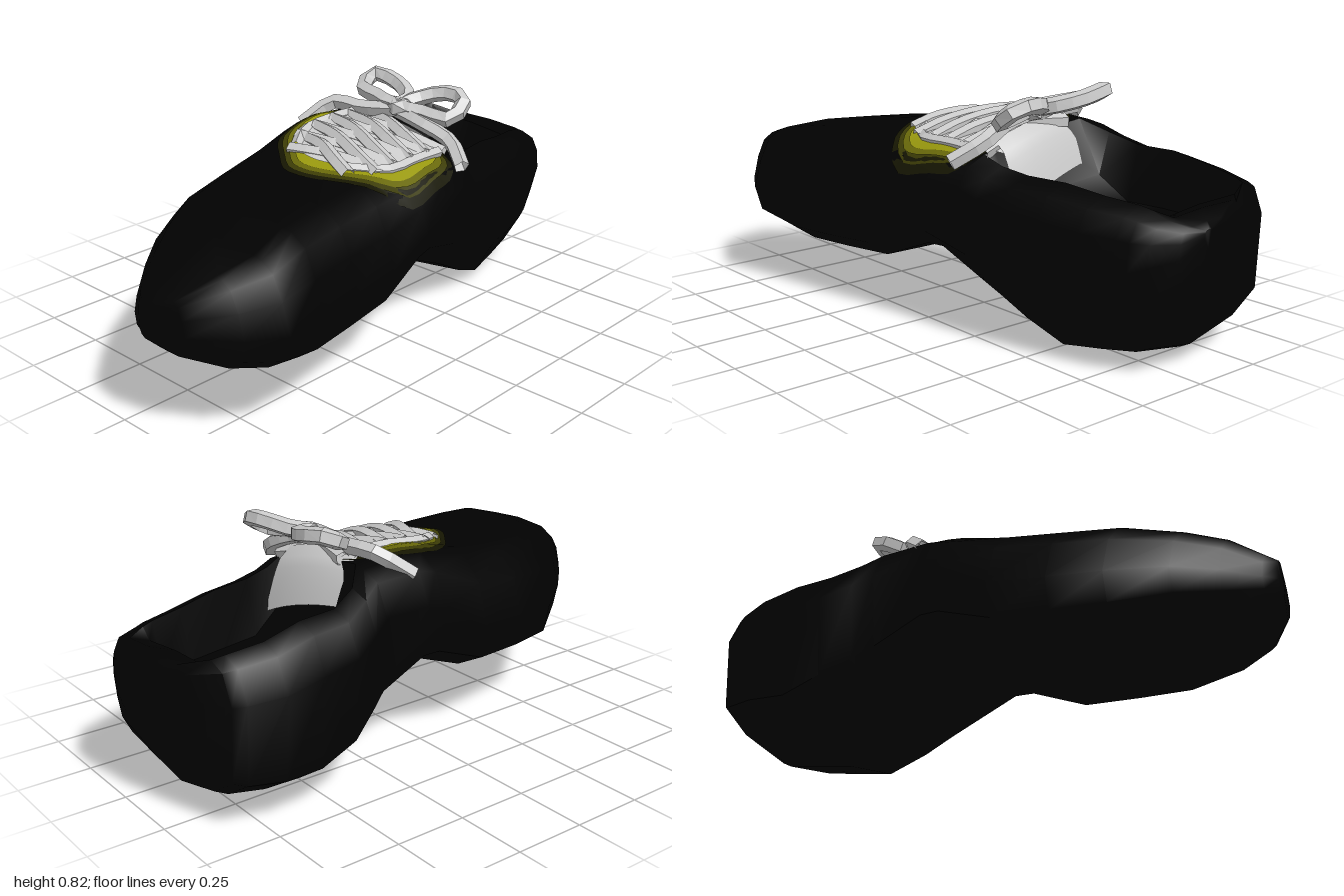
import * as THREE from 'three';
import { toCreasedNormals } from 'three/addons/utils/BufferGeometryUtils.js';

// Stations from toe to heel: z, xMin, xMax, yMin, yMax, sideways tilt, foot-opening depth
const STATIONS = [
  [1, 0.11, 0.155, 0.33, 0.46, 0, 0],
  [0.97, 0.05, 0.28, 0.3, 0.48, 0, 0],
  [0.87, -0.05, 0.42, 0.26, 0.55, 0, 0],
  [0.75, -0.16, 0.485, 0.23, 0.585, 0, 0],
  [0.58, -0.28, 0.45, 0.18, 0.61, 0, 0],
  [0.4, -0.325, 0.42, 0.18, 0.625, 0.01, 0],
  [0.2, -0.36, 0.39, 0.185, 0.64, 0.03, 0],
  [0, -0.365, 0.365, 0.258, 0.66, 0.06, 0],
  [-0.07, -0.368, 0.355, 0.256, 0.665, 0.06, 0],
  [-0.25, -0.38, 0.33, 0.16, 0.655, 0.045, 0],
  [-0.32, -0.415, 0.318, 0.12, 0.62, 0.035, 0.15],
  [-0.42, -0.46, 0.3, 0.06, 0.595, 0.02, 0.2],
  [-0.56, -0.475, 0.27, 0, 0.595, 0.02, 0.2],
  [-0.7, -0.49, 0.238, 0.02, 0.57, 0.015, 0.18],
  [-0.82, -0.46, 0.2, 0.04, 0.555, 0.01, 0.15],
  [-0.86, -0.44, 0.185, 0.06, 0.545, 0.01, 0.04],
  [-0.92, -0.31, 0.16, 0.15, 0.515, 0, 0],
  [-0.97, -0.15, 0.08, 0.24, 0.49, 0, 0],
  [-1, -0.03, 0.01, 0.36, 0.475, 0, 0],
];

// Unit cross-sections (across, up) of the toe and of the heel
const TOE = [
  [-0.62, 0.07], [0.05, 0], [0.7, 0], [0.92, 0.13],
  [1, 0.38], [0.91, 0.66], [0.79, 0.87], [0.64, 0.95],
  [0.54, 0.97], [0, 1], [-0.54, 0.97],
  [-0.66, 0.92], [-0.87, 0.74], [-1, 0.43], [-0.94, 0.2],
];
const HEEL = [
  [-0.6, 0.1], [0.05, 0], [0.66, 0.06], [0.88, 0.3],
  [1, 0.6], [0.97, 0.79], [0.87, 0.91], [0.66, 0.96],
  [0.54, 0.97], [0, 1], [-0.54, 1],
  [-0.66, 0.98], [-0.86, 0.93], [-1, 0.74], [-0.95, 0.24],
];
const mix = THREE.MathUtils.lerp;

function ring([z, x0, x1, y0, y1, tilt, dip]) {
  const w = 1 - THREE.MathUtils.smoothstep(z, -0.4, 0.3);
  return TOE.map((toe, i) => {
    const u = mix(toe[0], HEEL[i][0], w), v = mix(toe[1], HEEL[i][1], w);
    const sink = i >= 8 && i <= 10 ? dip : 0;
    return [mix(x0, x1, (u + 1) / 2), mix(y0, y1, v) - tilt * u * v - sink, z];
  });
}

// Height of the upper surface at x, z
function topAt(x, z) {
  let i = 0;
  while (i < STATIONS.length - 2 && STATIONS[i + 1][0] > z) i++;
  const a = STATIONS[i], b = STATIONS[i + 1];
  const t = THREE.MathUtils.clamp((a[0] - z) / (a[0] - b[0]), 0, 1);
  const arc = ring(a.map((v, k) => mix(v, b[k], t))).slice(4, 14);
  for (let k = 0; k < arc.length - 1; k++) {
    const [xa, ya] = arc[k], [xb, yb] = arc[k + 1];
    if (x <= xa && x >= xb) return ya + ((yb - ya) * (xa - x)) / (xa - xb);
  }
  return x > 0 ? arc[0][1] : arc[arc.length - 1][1];
}

function bodyGeometry() {
  const n = TOE.length, pos = [], idx = [];
  STATIONS.forEach((s) => ring(s).forEach((p) => pos.push(...p)));
  for (let i = 0; i < STATIONS.length - 1; i++) {
    for (let j = 0; j < n; j++) {
      const a = i * n + j, b = i * n + ((j + 1) % n);
      idx.push(a, a + n, b + n, a, b + n, b);
    }
  }
  // Toe and heel caps
  [0, STATIONS.length - 1].forEach((i) => {
    const s = STATIONS[i], c = pos.length / 3;
    pos.push((s[1] + s[2]) / 2, (s[3] + s[4]) / 2, s[0]);
    for (let j = 0; j < n; j++) {
      const a = i * n + j, b = i * n + ((j + 1) % n);
      idx.push(c, ...(i === 0 ? [a, b] : [b, a]));
    }
  });
  const g = new THREE.BufferGeometry();
  g.setAttribute('position', new THREE.Float32BufferAttribute(pos, 3));
  g.setIndex(idx);
  return toCreasedNormals(g, 0.9);
}

// Thin panel that follows the upper, given its plan outline (x, z)
function panelGeometry(outline, scale, lift) {
  const curve = new THREE.CatmullRomCurve3(
    outline.map(([x, z]) => new THREE.Vector3(x, 0, z)), true);
  const cx = 0.03, cz = -0.03, rings = 10, segs = 40;
  const pos = [], idx = [];
  for (let r = 0; r <= rings; r++) {
    for (let s = 0; s < segs; s++) {
      const p = curve.getPoint(s / segs), k = (scale * r) / rings;
      const x = cx + (p.x - cx) * k, z = cz + (p.z - cz) * k;
      pos.push(x, topAt(x, z) + lift, z);
      if (r < rings) {
        const a = r * segs + s, b = r * segs + ((s + 1) % segs);
        idx.push(a, a + segs, b + segs, a, b + segs, b);
      }
    }
  }
  const g = new THREE.BufferGeometry();
  g.setAttribute('position', new THREE.Float32BufferAttribute(pos, 3));
  g.setIndex(idx);
  g.computeVertexNormals();
  return g;
}

export function createModel() {
  const group = new THREE.Group();
  const paint = (color, extra) => new THREE.MeshStandardMaterial({ color, ...extra });
  const grey = paint(0xcccccc, { side: THREE.DoubleSide });
  const laceGrey = paint(0xcccccc, { flatShading: true, side: THREE.DoubleSide });
  const add = (name, geometry, material, parent = group) => {
    const mesh = new THREE.Mesh(geometry, material);
    mesh.name = name;
    parent.add(mesh);
    return mesh;
  };

  add('shoeBody', bodyGeometry(), paint(0x010101));

  // Yellow surround, fading to dark at its border
  const surround = [
    [0.03, 0.31], [0.19, 0.23], [0.33, 0.08], [0.32, -0.1], [0.28, -0.23],
    [0.1, -0.25], [-0.12, -0.25], [-0.2, -0.22], [-0.25, -0.08], [-0.21, 0.12], [-0.1, 0.23],
  ];
  [[1, 0x161602], [0.94, 0x3c3c06], [0.88, 0x68680a], [0.81, 0x98980e]].forEach(([scale, color], i) =>
    add('laceSurround' + (i + 1),
      panelGeometry(surround, scale, 0.005 + i * 0.003), paint(color, { side: THREE.DoubleSide })));

  // Tongue under the laces
  const tongue = [
    [0.02, 0.2], [0.16, 0.12], [0.23, -0.04], [0.2, -0.24],
    [-0.14, -0.24], [-0.16, -0.04], [-0.12, 0.12],
  ];
  add('tongue', panelGeometry(tongue, 1, 0.018), grey);

  // Back of the tongue, dropping steeply into the foot opening
  const flap = new THREE.PlaneGeometry(0.34, 1, 6, 6);
  const fp = flap.attributes.position;
  for (let i = 0; i < fp.count; i++) {
    const x = fp.getX(i), t = 0.5 - fp.getY(i);
    fp.setXYZ(i, x - 0.01, 0.69 - 0.19 * t - (0.15 + 0.15 * t) * x - 0.6 * x * x,
      -0.23 - 0.11 * Math.sqrt(t) - 0.15 * x + 0.4 * x * x);
  }
  flap.computeVertexNormals();
  add('tongueFlap', flap, grey);

  // Laces
  const laces = new THREE.Group();
  laces.name = 'laces';
  group.add(laces);
  const lace = (name, pts, radius = 0.026, closed = false) => {
    const path = new THREE.CatmullRomCurve3(
      pts.map((p) => new THREE.Vector3(...p)), closed, 'centripetal');
    add(name, new THREE.TubeGeometry(path, pts.length * 2, radius, 5, closed), laceGrey, laces);
  };
  const onTop = (x, z, lift) => [x, topAt(x, z) + lift, z];

  // Crossed rows, one strand over the other
  for (let i = 0; i < 5; i++) {
    const z = 0.16 - i * 0.085, narrow = i === 0 ? 0.05 : 0;
    const l = -0.15 + narrow, r = 0.22 - narrow;
    [[l, r, 0.01], [r, l, 0.024]].forEach(([a, b, lift], k) =>
      lace(`laceRow${i + 1}${k ? 'Over' : 'Under'}`, [
        onTop(a, z + 0.02, 0.008),
        onTop(mix(a, b, 0.3), z, lift),
        onTop(mix(a, b, 0.65), z - 0.04, lift),
        onTop(b, z - 0.07, 0.008),
      ]));
  }
  // Strands along both eyelet edges
  [['laceEdgeRight', -0.155, -0.09], ['laceEdgeLeft', 0.22, 0.13]].forEach(([name, x, front]) =>
    lace(name, [
      onTop(front, 0.16, 0.01), onTop(x, 0.05, 0.01), onTop(x, -0.1, 0.01), onTop(x, -0.22, 0.015),
    ], 0.022));

  // Bow: two loops, two loose ends and the knot
  lace('bowLoopRight', [
    [0, 0.735, -0.25], [-0.1, 0.745, -0.27], [-0.2, 0.755, -0.295],
    [-0.21, 0.79, -0.37], [-0.1, 0.77, -0.375], [0, 0.745, -0.31],
  ], 0.03, true);
  lace('bowLoopLeft', [
    [0.01, 0.735, -0.25], [0.1, 0.725, -0.28], [0.2, 0.715, -0.31],
    [0.195, 0.765, -0.385], [0.11, 0.775, -0.385], [0.03, 0.75, -0.32],
  ], 0.03, true);
  lace('looseEndRight', [
    [0, 0.72, -0.25], [-0.13, 0.71, -0.21], [-0.25, 0.71, -0.19], [-0.315, 0.635, -0.09],
  ], 0.028);
  lace('looseEndLeft', [
    [0, 0.72, -0.25], [0.12, 0.695, -0.25], [0.23, 0.65, -0.27], [0.325, 0.59, -0.22],
  ], 0.028);
  const knot = add('knot', new THREE.IcosahedronGeometry(0.05, 0), laceGrey, laces);
  knot.position.set(0.01, 0.73, -0.26);
  knot.scale.set(1.2, 0.8, 1);

  return group;
}
